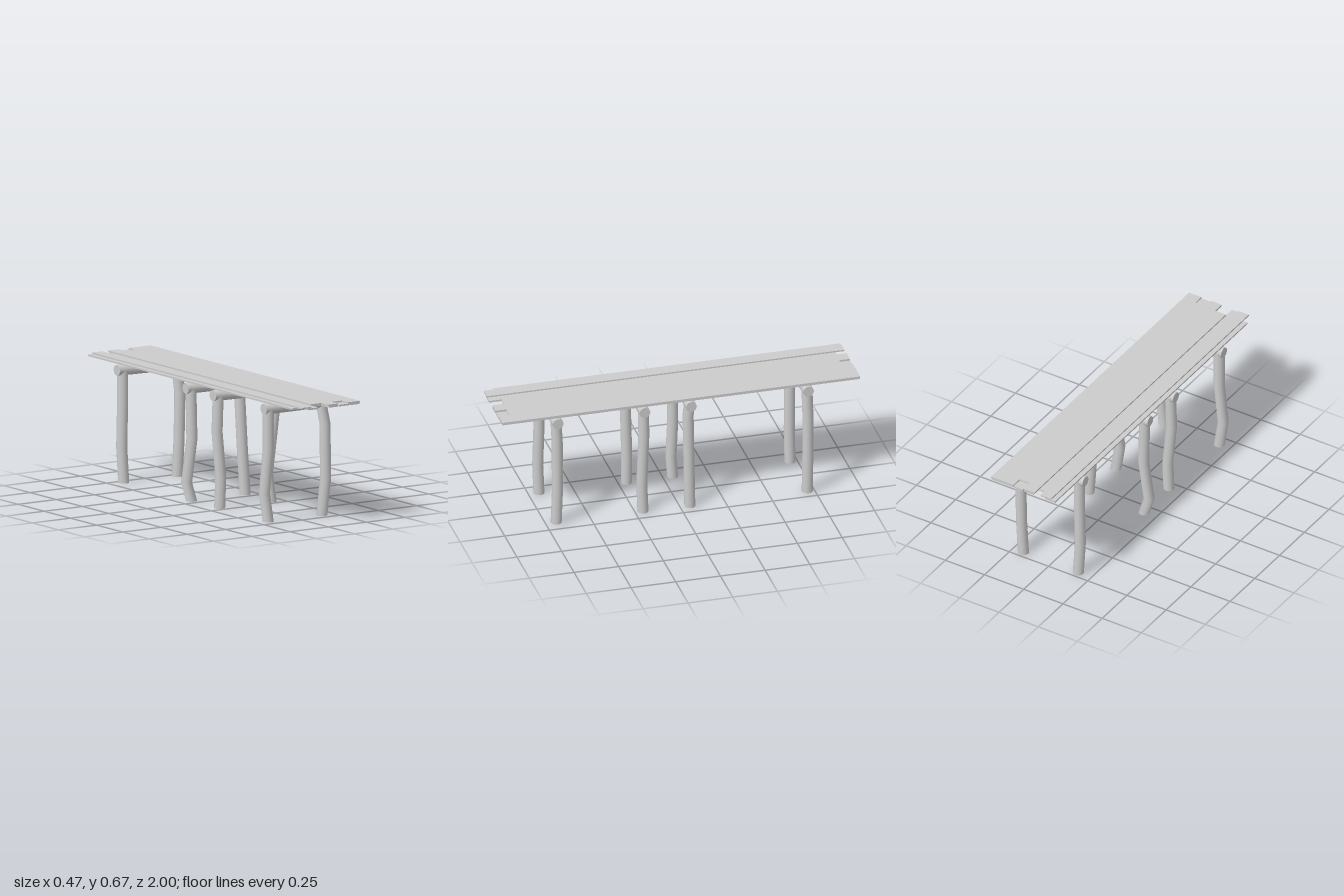
import * as THREE from 'three';

const material = new THREE.MeshStandardMaterial({ color: 0xcccccc });
const RADIUS = 0.03;
const BEAM_Y = 0.62;

// Round pole bent sideways: knots are [along, sideways offset], lowest first.
function bentPole(knots, name) {
  const spans = knots.length - 1;
  const geometry = new THREE.CylinderGeometry(RADIUS, RADIUS, spans, 20, spans);
  const pos = geometry.attributes.position;
  for (let i = 0; i < pos.count; i++) {
    const [along, offset] = knots[Math.round(pos.getY(i) + spans / 2)];
    pos.setX(i, pos.getX(i) + offset);
    pos.setY(i, along);
  }
  const mesh = new THREE.Mesh(geometry, material);
  mesh.name = name;
  return mesh;
}

// Each trestle: depth, knots of both legs from the ground up, sag of the beam.
const trestles = [
  { z: 0.69, sag: 0,
    right: [[0, -0.18], [0.16, -0.205], [0.4, -0.18], [BEAM_Y, -0.18]],
    left: [[0, 0.17], [0.2, 0.195], [0.5, 0.191], [BEAM_Y, 0.165]] },
  { z: 0.205, sag: 0.004,
    right: [[0, -0.165], [0.17, -0.158], [0.42, -0.182], [BEAM_Y, -0.175]],
    left: [[0, 0.172], [0.155, 0.148], [0.48, 0.19], [BEAM_Y, 0.178]] },
  { z: -0.055, sag: 0.002,
    right: [[0, -0.17], [0.105, -0.203], [0.34, -0.168], [BEAM_Y, -0.175]],
    left: [[0, 0.18], [0.26, 0.161], [0.535, 0.145], [BEAM_Y, 0.17]] },
  { z: -0.71, sag: 0.005,
    right: [[0, -0.165], [0.2, -0.178], [0.45, -0.172], [BEAM_Y, -0.172]],
    left: [[0, 0.185], [0.2, 0.197], [0.455, 0.202], [BEAM_Y, 0.18]] },
];

function trestle({ z, sag, right, left }) {
  const group = new THREE.Group();
  group.name = 'trestle';
  group.position.z = z;
  const beam = bentPole([[-0.21, 0], [-0.05, sag / 2], [0.07, sag], [0.213, 0]], 'crossBeam');
  beam.rotation.z = -Math.PI / 2;
  beam.position.y = BEAM_Y;
  group.add(bentPole(right, 'rightLeg'), bentPole(left, 'leftLeg'), beam);
  return group;
}

// Planks as [x0, x1, z0, z1], with staggered ends.
const lowerPlanks = [
  [-0.2, -0.135, -1, 0.945],
  [-0.13, -0.066, -0.95, 1],
  [-0.062, 0, -1, 0.93],
  [0.004, 0.065, -1, 1],
  [0.07, 0.135, -1, 1],
  [0.14, 0.205, -1, 1],
];
const upperPlanks = [
  [-0.173, -0.108, -1, 1],
  [-0.068, 0, -1, 0.935],
  [0, 0.065, -0.94, 1],
  [0.065, 0.13, -1, 0.94],
  [0.13, 0.208, -1, 1],
];

function plankLayer(planks, y0, y1, name) {
  const layer = new THREE.Group();
  layer.name = name;
  for (const [x0, x1, z0, z1] of planks) {
    const plank = new THREE.Mesh(new THREE.BoxGeometry(x1 - x0, y1 - y0, z1 - z0), material);
    plank.name = 'plank';
    plank.position.set((x0 + x1) / 2, (y0 + y1) / 2, (z0 + z1) / 2);
    layer.add(plank);
  }
  return layer;
}

export function createModel() {
  const model = new THREE.Group();
  model.name = 'plankWalkway';
  model.add(plankLayer(lowerPlanks, 0.653, 0.662, 'lowerPlanks'));
  model.add(plankLayer(upperPlanks, 0.662, 0.67, 'upperPlanks'));
  trestles.forEach((t) => model.add(trestle(t)));
  return model;
}
